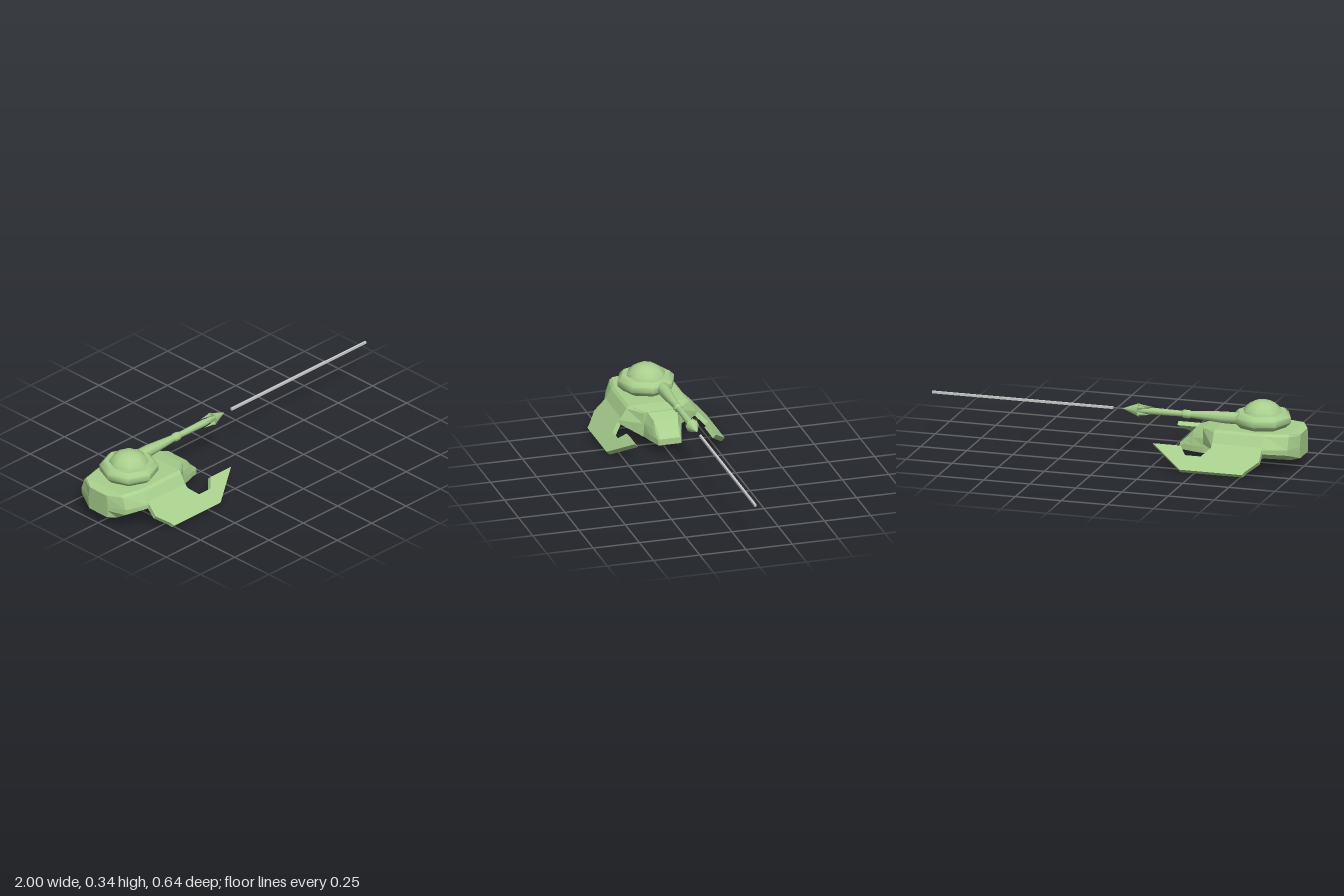
import * as THREE from 'three';
import { toCreasedNormals } from 'three/addons/utils/BufferGeometryUtils.js';

const green = new THREE.MeshStandardMaterial({ color: 0xa8d08d });
const grey = new THREE.MeshStandardMaterial({ color: 0xcccccc });

// Lofts mirrored half sections [x, [[z, y], ...top to bottom]] along x, with end caps
function loft(stations) {
  const rings = stations.map(([x, half]) => [
    ...half.map(([z, y]) => [x, y, z]),
    ...half.slice().reverse().map(([z, y]) => [x, y, -z]),
  ]);
  const pos = [];
  const tri = (a, b, c) => pos.push(...a, ...b, ...c);
  const n = rings[0].length;
  for (let k = 0; k < rings.length - 1; k++) {
    const a = rings[k], b = rings[k + 1];
    for (let i = 0; i < n; i++) {
      const j = (i + 1) % n;
      tri(a[i], a[j], b[j]);
      tri(a[i], b[j], b[i]);
    }
  }
  const first = rings[0], last = rings[rings.length - 1];
  for (let i = 1; i < n - 1; i++) {
    tri(first[0], first[i + 1], first[i]);
    tri(last[0], last[i], last[i + 1]);
  }
  const geo = new THREE.BufferGeometry();
  geo.setAttribute('position', new THREE.Float32BufferAttribute(pos, 3));
  geo.computeVertexNormals();
  return geo;
}

// Turned part from [radius, height] points
function lathe(points, sides, crease) {
  const geo = new THREE.LatheGeometry(points.map(([r, y]) => new THREE.Vector2(r, y)), sides);
  return toCreasedNormals(geo, crease);
}

export function createModel() {
  const model = new THREE.Group();
  const add = (name, geo, material = green, parent = model) => {
    const mesh = new THREE.Mesh(geo, material);
    mesh.name = name;
    parent.add(mesh);
    return mesh;
  };

  // Hull: rounded tail, wide waist, tapering towards the nose
  const full = [[0.155, 0.2], [0.17, 0.188], [0.206, 0.125], [0.206, 0.104], [0.103, 0.053]];
  add('hull', loft([
    [-1, [[0.06, 0.187], [0.062, 0.18], [0.07, 0.123], [0.07, 0.1], [0.065, 0.06]]],
    [-0.96, [[0.125, 0.199], [0.14, 0.188], [0.162, 0.125], [0.16, 0.095], [0.1, 0.056]]],
    [-0.837, full],
    [-0.564, full],
    [-0.484, [[0.095, 0.187], [0.098, 0.18], [0.103, 0.125], [0.103, 0.104], [0.103, 0.053]]],
  ]));

  // Faceted cockpit nose
  add('nose', loft([
    [-0.49, [[0.08, 0.186], [0.1, 0.13], [0.102, 0.085], [0.102, 0.053]]],
    [-0.42, [[0.066, 0.163], [0.078, 0.125], [0.085, 0.085], [0.085, 0.053]]],
    [-0.38, [[0.055, 0.118], [0.066, 0.105], [0.072, 0.085], [0.072, 0.053]]],
    [-0.345, [[0.055, 0.086], [0.058, 0.082], [0.062, 0.075], [0.062, 0.053]]],
  ]));

  // Hooked side fins, splayed at 45 degrees; points are x and outward reach
  const outline = [
    [-0.837, -0.02], [-0.837, 0.066], [-0.762, 0.08], [-0.762, 0.15], [-0.425, 0.15],
    [-0.249, 0.008], [-0.4, 0.008], [-0.436, 0.062], [-0.52, 0.062], [-0.564, 0.006], [-0.564, -0.02],
  ];
  outline[2] = [-0.775, 0.13];
  const finShape = new THREE.Shape(outline.map(([x, s]) => new THREE.Vector2(x, s)));
  const thick = 0.025;
  const finGeo = new THREE.ExtrudeGeometry(finShape, { depth: thick, bevelEnabled: false });
  finGeo.translate(0, 0, -thick / 2);
  for (const side of [1, -1]) {
    const fin = add(side > 0 ? 'leftFin' : 'rightFin', finGeo);
    fin.rotation.x = side * Math.PI * 0.75;
    fin.position.set(0, 0.115, side * 0.205);
  }

  // Eight-sided turret ring and dome
  const turret = new THREE.Group();
  turret.name = 'turret';
  turret.position.x = -0.775;
  model.add(turret);
  add('turretRing', lathe([
    [0, 0.195], [0.125, 0.198], [0.153, 0.225], [0.153, 0.255], [0.13, 0.277], [0, 0.277],
  ], 8, 0.8), green, turret);
  add('turretDome', lathe([
    [0.104, 0.276], [0.098, 0.29], [0.073, 0.313], [0.045, 0.329], [0, 0.336],
  ], 8, 0.9), green, turret);

  // Gun along +x, offset to one side of the turret
  const gun = new THREE.Group();
  gun.name = 'gun';
  gun.position.set(0, 0.24, -0.051);
  model.add(gun);
  const turned = (name, points) =>
    add(name, lathe(points, 8, 0.8).rotateZ(-Math.PI / 2), green, gun);
  turned('barrel', [
    [0, -0.67], [0.032, -0.66], [0.032, -0.58], [0.019, -0.41], [0.016, -0.36], [0.019, -0.18], [0.012, -0.12],
  ]);
  turned('barrelCollar', [[0.017, -0.405], [0.023, -0.395], [0.023, -0.365], [0.016, -0.355]]);
  turned('muzzleTip', [[0, -0.12], [0.036, -0.12], [0, -0.03]]);

  // Four barbs swept back from the muzzle tip
  const barbGeo = new THREE.ConeGeometry(0.011, 0.075, 4).rotateZ(Math.PI / 2);
  for (let i = 0; i < 4; i++) {
    const a = Math.PI / 4 + i * Math.PI / 2;
    add('muzzleBarb', barbGeo, green, gun).position.set(-0.152, 0.024 * Math.cos(a), 0.024 * Math.sin(a));
  }

  // Long thin beam ahead of the gun
  add('beam', new THREE.BoxGeometry(0.98, 0.012, 0.012), grey).position.set(0.51, 0.24, -0.051);

  return model;
}
